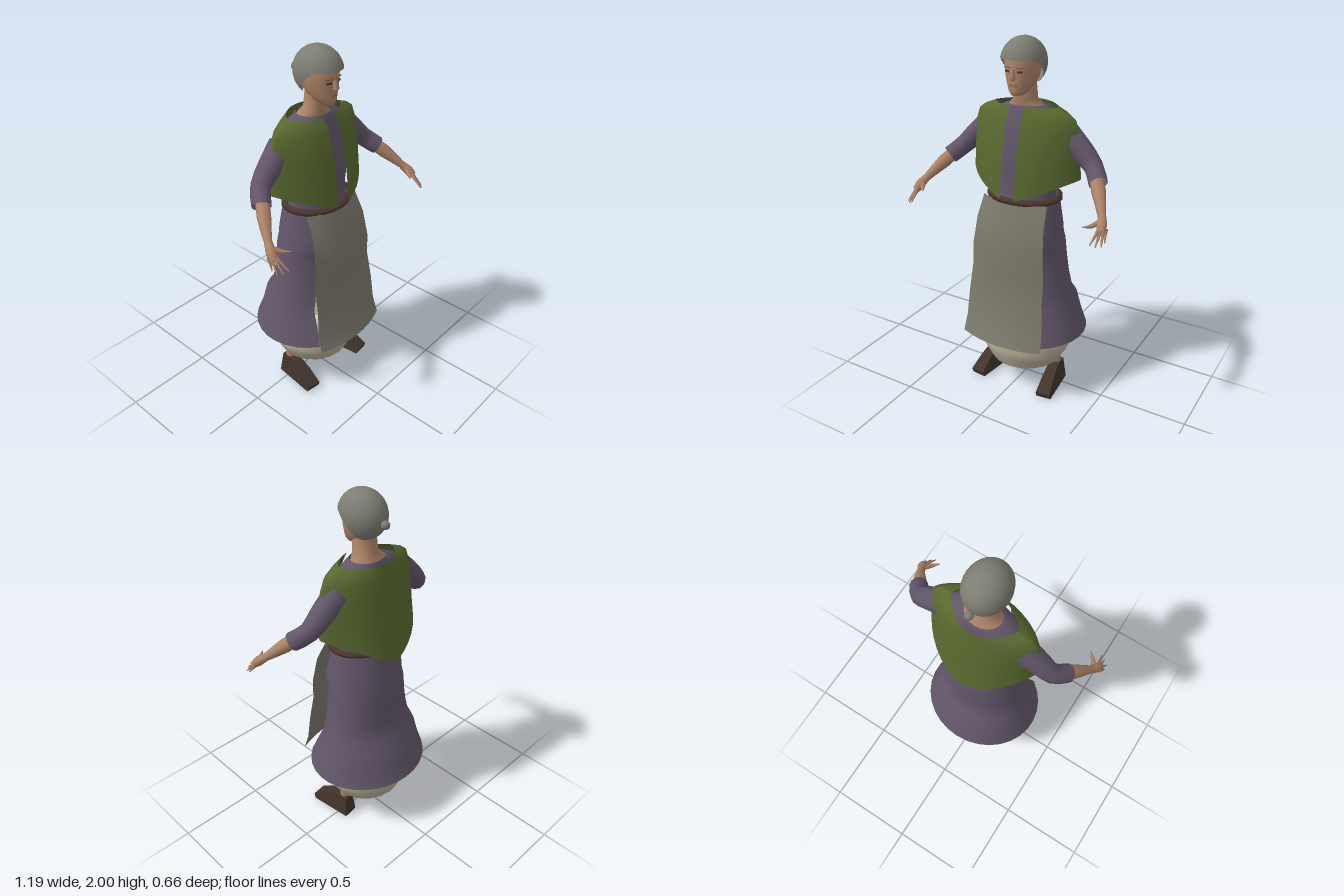
import * as THREE from 'three';
import { mergeVertices } from 'three/addons/utils/BufferGeometryUtils.js';

const mat = (name, color) => new THREE.MeshStandardMaterial({ name, color, side: THREE.DoubleSide });

// Smooth grid surface: f(u, v) gives a point, u runs around, v runs along
function sheet(nu, nv, f) {
  const pos = [], idx = [];
  for (let i = 0; i <= nv; i++)
    for (let j = 0; j <= nu; j++) pos.push(...f(j / nu, i / nv));
  for (let i = 0; i < nv; i++)
    for (let j = 0; j < nu; j++) {
      const a = i * (nu + 1) + j, d = a + nu + 1;
      idx.push(a, a + 1, d, a + 1, d + 1, d);
    }
  const g = new THREE.BufferGeometry();
  g.setAttribute('position', new THREE.Float32BufferAttribute(pos, 3));
  g.setIndex(idx);
  const merged = mergeVertices(g, 1e-5);
  merged.computeVertexNormals();
  return merged;
}

// Linear lookup in rows of numbers, t from 0 to 1
function rowAt(rows, t) {
  const k = t * (rows.length - 1), i = Math.min(Math.floor(k), rows.length - 2);
  return rows[i].map((p, n) => p + (rows[i + 1][n] - p) * (k - i));
}

// Elliptical rings from bottom to top: [y, half width, back z, front z];
// gap is the angle left open on each side of the front
function rings(rows, segs = 20, gap = 0) {
  return sheet(segs, rows.length - 1, (u, v) => {
    const [y, w, zb, zf] = rowAt(rows, v);
    const a = gap + u * (2 * Math.PI - 2 * gap);
    return [w * Math.sin(a), y, (zf + zb) / 2 + (zf - zb) / 2 * Math.cos(a)];
  });
}

// Tapered limb through points, with one radius per point
function limb(points, radii, segs = 8, steps = 2) {
  const curve = new THREE.CatmullRomCurve3(points.map(p => new THREE.Vector3(...p)));
  const nv = (points.length - 1) * steps;
  const fr = curve.computeFrenetFrames(nv, false);
  return sheet(segs, nv, (u, v) => {
    const i = Math.round(v * nv), [r] = rowAt(radii.map(x => [x]), v), a = u * 2 * Math.PI;
    return curve.getPoint(v)
      .addScaledVector(fr.normals[i], r * Math.cos(a))
      .addScaledVector(fr.binormals[i], r * Math.sin(a)).toArray();
  });
}

export function createModel() {
  const green = mat('cape green', 0x58682f), purple = mat('dress purple', 0x63566a);
  const grey = mat('apron grey', 0x7c796c), capGrey = mat('cap grey', 0x7e7d73);
  const cream = mat('petticoat cream', 0xb5ad96), skin = mat('skin', 0xae8468);
  const shoeBrown = mat('shoe brown', 0x43342d), beltBrown = mat('belt brown', 0x4a352e);
  const lip = mat('lip', 0x8a5a4c);

  const model = new THREE.Group();
  const add = (name, geo, m, parent = model) => {
    const mesh = new THREE.Mesh(geo, m);
    mesh.name = name;
    parent.add(mesh);
    return mesh;
  };

  // Skirts
  add('petticoat', rings([[0.145, 0.21, -0.205, 0.2], [0.2, 0.245, -0.222, 0.222], [0.265, 0.275, -0.235, 0.245],
    [0.35, 0.245, -0.22, 0.22], [0.4, 0.2, -0.18, 0.18]], 18), cream);
  add('skirt', rings([[0.355, 0.355, -0.33, 0.31], [0.45, 0.325, -0.29, 0.265], [0.55, 0.295, -0.265, 0.215],
    [0.61, 0.275, -0.215, 0.205], [0.7, 0.255, -0.2, 0.193], [0.8, 0.24, -0.195, 0.195], [0.9, 0.228, -0.19, 0.185],
    [0.94, 0.222, -0.187, 0.225], [1.0, 0.215, -0.18, 0.2], [1.1, 0.202, -0.16, 0.18], [1.17, 0.19, -0.145, 0.16]],
    24, 0.67), purple);

  // Apron hanging in front, bowed forward: [y, half width, centre z, edge z]
  const apron = [[0.355, 0.25, 0.33, 0.28], [0.45, 0.243, 0.29, 0.25], [0.6, 0.232, 0.255, 0.235],
    [0.76, 0.224, 0.242, 0.205], [0.89, 0.218, 0.245, 0.205], [1.04, 0.206, 0.212, 0.175], [1.155, 0.195, 0.178, 0.12]];
  add('apron', sheet(8, apron.length - 1, (u, v) => {
    const [y, w, zc, ze] = rowAt(apron, v), s = 2 * u - 1;
    return [w * s, y, zc + (ze - zc) * s * s];
  }), grey);
  add('belt', rings([[1.145, 0.2, -0.14, 0.165], [1.15, 0.215, -0.155, 0.187], [1.17, 0.215, -0.155, 0.187],
    [1.176, 0.19, -0.14, 0.16]], 24), beltBrown);

  // Bodice
  add('bodice', rings([[1.15, 0.185, -0.11, 0.15], [1.22, 0.18, -0.09, 0.135], [1.3, 0.185, -0.085, 0.14],
    [1.42, 0.21, -0.1, 0.14], [1.55, 0.23, -0.11, 0.11], [1.615, 0.19, -0.108, 0.09], [1.655, 0.1, -0.09, 0.075]]), purple);

  // Cape with an open front; [half width, back z, front z] from hem to neck
  const cape = [[0.325, -0.228, 0.207], [0.322, -0.205, 0.197], [0.318, -0.185, 0.182], [0.31, -0.165, 0.16],
    [0.29, -0.148, 0.135], [0.25, -0.138, 0.117], [0.185, -0.13, 0.1]];
  const capeT = [0, 0.2, 0.45, 0.68, 0.85, 0.93, 1];
  add('cape', sheet(36, cape.length - 1, (u, v) => {
    const [w, zb, zf] = rowAt(cape, v), [t] = rowAt(capeT.map(x => [x]), v);
    const gap = Math.asin(0.042 / w), a = gap + u * (2 * Math.PI - 2 * gap);
    const s = Math.sin(a), c = Math.cos(a);
    const hem = 1.29 - (c > 0 ? 0.125 : 0.17) * (1 - Math.abs(s));
    return [w * s, hem + (1.652 - hem) * t, (c > 0 ? zf : zb) * Math.abs(c) ** 1.6];
  }), green);

  // Head
  const head = new THREE.Group();
  head.name = 'head';
  model.add(head);
  add('neck', rings([[1.6, 0.15, -0.095, 0.055], [1.65, 0.1, -0.08, 0.06], [1.68, 0.068, -0.055, 0.07],
    [1.77, 0.06, -0.05, 0.08]], 14), skin, head);
  add('face', rings([[1.71, 0, 0.09, 0.1], [1.715, 0.03, 0.05, 0.124], [1.735, 0.052, 0, 0.132], [1.765, 0.07, -0.04, 0.132],
    [1.8, 0.082, -0.06, 0.134], [1.84, 0.09, -0.07, 0.133], [1.9, 0.094, -0.08, 0.138], [1.95, 0.075, -0.06, 0.11],
    [1.975, 0, 0.01, 0.02]], 18), skin, head);
  add('nose', rings([[1.79, 0, 0.12, 0.13], [1.795, 0.014, 0.12, 0.146], [1.805, 0.017, 0.12, 0.157],
    [1.85, 0.008, 0.12, 0.14]], 8), skin, head);
  add('mouth', new THREE.BoxGeometry(0.042, 0.009, 0.009), lip, head).position.set(0, 1.768, 0.127);
  for (const s of [1, -1]) {
    const eye = add('eye', new THREE.BoxGeometry(0.026, 0.009, 0.006), shoeBrown, head);
    eye.position.set(0.037 * s, 1.836, 0.126);
    eye.rotation.y = 0.35 * s;
    const brow = add('brow', new THREE.BoxGeometry(0.036, 0.005, 0.006), lip, head);
    brow.position.set(0.038 * s, 1.856, 0.127);
    brow.rotation.y = 0.35 * s;
  }

  // Close cap: high over the brow, low at the nape
  add('cap', sheet(28, 10, (u, v) => {
    const a = u * 2 * Math.PI, c = Math.cos(a);
    const hem = 1.765 + 0.13 * THREE.MathUtils.smoothstep(c, -0.65, 0.6);
    const phi = Math.acos((hem - 1.87) / 0.13) * (1 - v), r = Math.sin(phi);
    return [0.117 * r * Math.sin(a), 1.87 + 0.13 * Math.cos(phi), 0.023 + 0.136 * r * c];
  }), capGrey, head);
  add('bun', new THREE.SphereGeometry(0.023, 10, 8), capGrey, head).position.set(0, 1.856, -0.13);

  // Shoe side profile: along the foot, then up
  const profile = [[-0.06, 0], [0.19, 0], [0.2, 0.03], [0.12, 0.09], [0.04, 0.13], [-0.05, 0.13]];
  const shoe = new THREE.ExtrudeGeometry(new THREE.Shape(profile.map(p => new THREE.Vector2(...p))),
    { depth: 0.09, bevelEnabled: false });
  shoe.translate(0, 0, -0.045).rotateY(-Math.PI / 2);
  const p = shoe.attributes.position;
  for (let i = 0; i < p.count; i++) p.setX(i, p.getX(i) * (1 - 2.6 * p.getY(i)));
  shoe.computeVertexNormals();

  // Arms and feet on both sides
  for (const s of [1, -1]) {
    const side = s > 0 ? 'left' : 'right';
    const part = (name, pts, radii, m, segs) =>
      add(side + name, limb(pts.map(([x, y, z]) => [x * s, y, z]), radii, segs), m);
    part('Sleeve', [[0.22, 1.53, -0.02], [0.32, 1.445, -0.012], [0.395, 1.375, 0], [0.455, 1.315, 0.065]],
      [0.07, 0.062, 0.052, 0.05], purple, 10);
    part('Forearm', [[0.42, 1.35, 0.03], [0.475, 1.285, 0.1], [0.535, 1.205, 0.185], [0.555, 1.17, 0.225], [0.565, 1.145, 0.25]],
      [0.035, 0.037, 0.021, 0.027, 0.02], skin, 8);
    const tips = [[0.54, 1.1, 0.325], [0.565, 1.09, 0.315], [0.588, 1.09, 0.295], [0.592, 1.1, 0.265]];
    tips.forEach((tip, k) => part('Finger', [[0.552 + k * 0.008, 1.155, 0.25 - k * 0.008], tip], [0.013, 0.003], skin, 5));
    part('Thumb', [[0.545, 1.185, 0.21], [0.515, 1.168, 0.255], [0.482, 1.168, 0.288]], [0.016, 0.012, 0.002], skin, 5);
    part('Ankle', [[0.2, 0.1, -0.015], [0.2, 0.17, -0.015]], [0.026, 0.024], skin, 8);
    const foot = add(side + 'Shoe', shoe, shoeBrown);
    foot.position.set(0.2 * s, 0, 0);
    foot.rotation.y = 0.12 * s;
  }
  return model;
}
